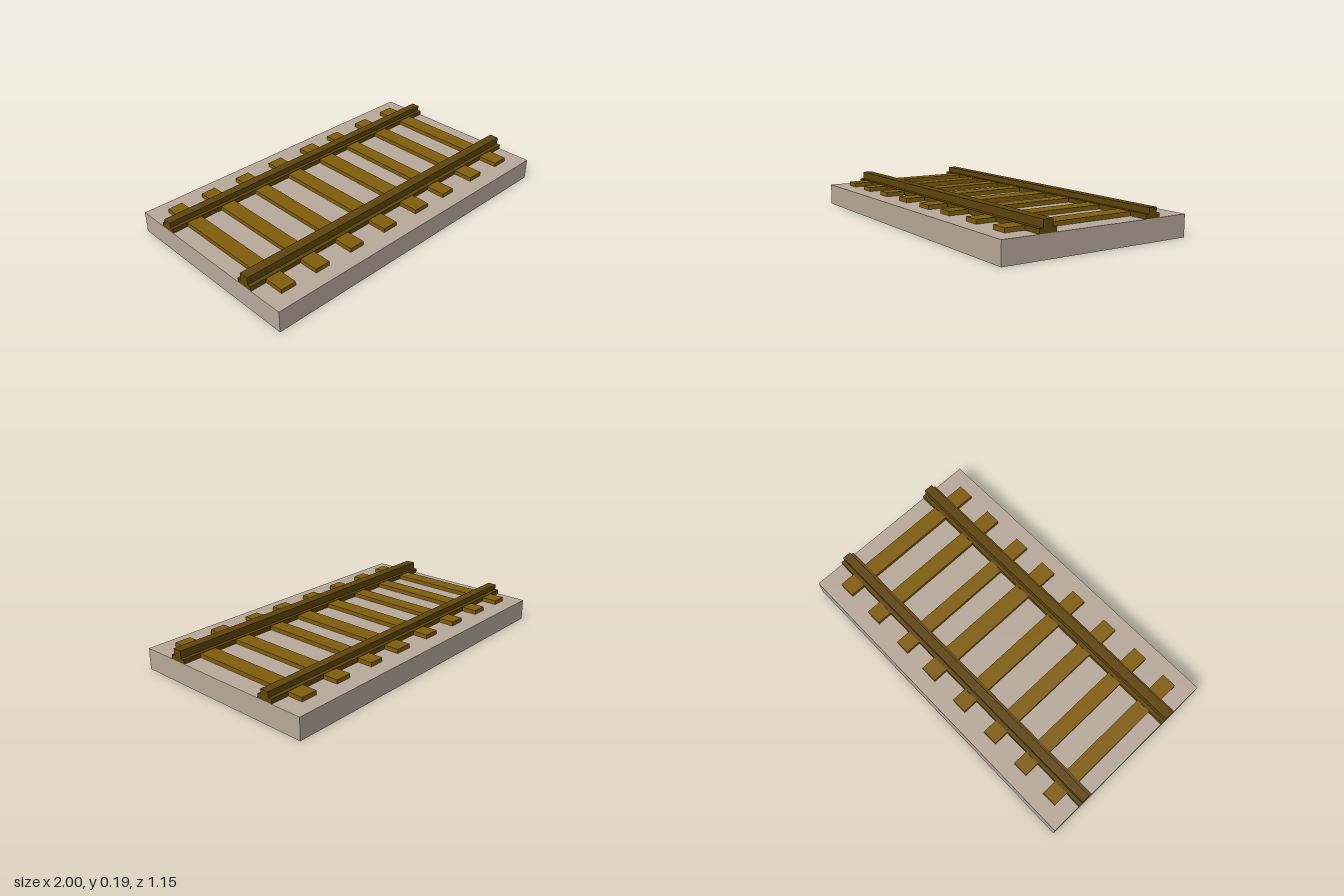
import * as THREE from 'three';

const stone = new THREE.MeshStandardMaterial({ color: 0xb8a99a });
const wood = new THREE.MeshStandardMaterial({ color: 0x805e0c });
const darkWood = new THREE.MeshStandardMaterial({ color: 0x5e450c });

const BED_TOP = 0.125;
const SLEEPER_TOP = 0.149;
const FOOT_TOP = 0.151;

// Box given by its minimum and maximum on each axis
function block(name, material, [x0, x1], [y0, y1], [z0, z1]) {
  const geometry = new THREE.BoxGeometry(x1 - x0, y1 - y0, z1 - z0);
  const mesh = new THREE.Mesh(geometry, material);
  mesh.position.set((x0 + x1) / 2, (y0 + y1) / 2, (z0 + z1) / 2);
  mesh.name = name;
  return mesh;
}

// Stepped rail: a wide foot with a narrow head on top
function rail(name, foot, head, top) {
  const group = new THREE.Group();
  group.name = name;
  group.add(
    block('railFoot', darkWood, [-1, 1], [BED_TOP, FOOT_TOP], foot),
    block('railHead', darkWood, [-1, 1], [FOOT_TOP, top], head)
  );
  return group;
}

export function createModel() {
  const model = new THREE.Group();
  model.name = 'railwayTrack';

  // Ground slab
  model.add(block('trackBed', stone, [-1, 1], [0, BED_TOP], [-0.575, 0.575]));

  // Sleepers, slightly uneven in spacing and width: [centre x, width]
  const sleepers = [
    [-0.86, 0.09], [-0.636, 0.091], [-0.394, 0.092], [-0.142, 0.095],
    [0.114, 0.103], [0.341, 0.088], [0.598, 0.096], [0.841, 0.098],
  ];
  for (const [x, w] of sleepers) {
    model.add(block('sleeper', wood, [x - w / 2, x + w / 2], [BED_TOP, SLEEPER_TOP], [-0.482, 0.483]));
  }

  // Rails, the front one a little wider and taller
  model.add(
    rail('frontRail', [0.266, 0.367], [0.288, 0.344], 0.193),
    rail('backRail', [-0.391, -0.297], [-0.369, -0.318], 0.182)
  );
  return model;
}
